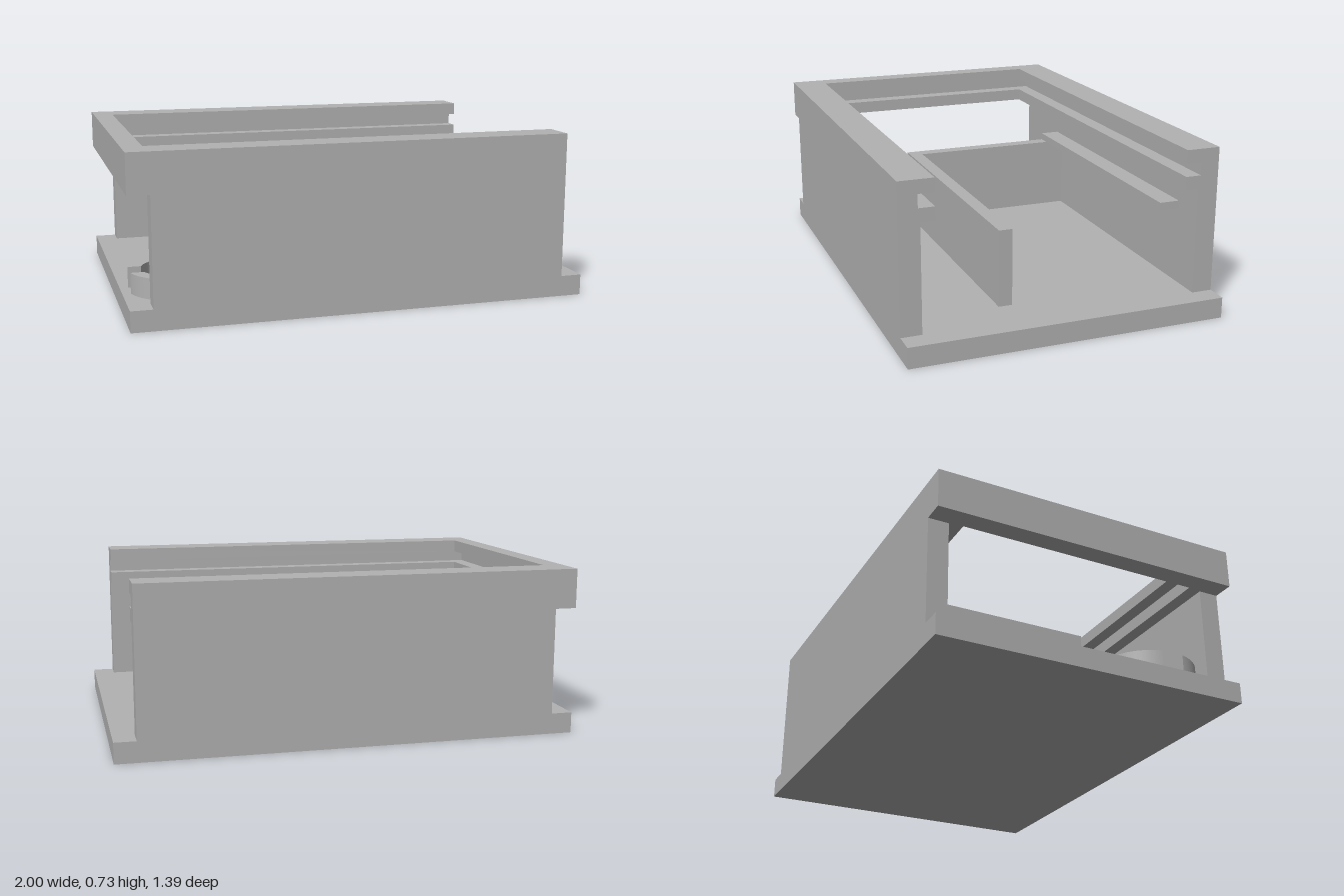
import * as THREE from 'three';

export function createModel() {
  const model = new THREE.Group();
  model.name = 'openEnclosure';
  const grey = new THREE.MeshStandardMaterial({ color: 0xb2b2b2 });
  grey.name = 'plainGrey';

  const add = (name, geometry) => {
    const mesh = new THREE.Mesh(geometry, grey);
    mesh.name = name;
    model.add(mesh);
  };
  // Box given by its limits on each axis
  const box = (name, [x0, x1], [y0, y1], [z0, z1]) => {
    const g = new THREE.BoxGeometry(x1 - x0, y1 - y0, z1 - z0);
    add(name, g.translate((x0 + x1) / 2, (y0 + y1) / 2, (z0 + z1) / 2));
  };
  // Plan outline (x, z) raised from y0 to y1
  const slab = (name, shape, y0, y1) => {
    const g = new THREE.ExtrudeGeometry(shape, { depth: y1 - y0, bevelEnabled: false, curveSegments: 40 });
    add(name, g.rotateX(Math.PI / 2).translate(0, y1, 0));
  };

  const D = 0.697, floorY = 0.091, wallX = 0.906, wallZ = 0.607;

  // Floor and the two long side walls
  box('base', [-1, 1], [0, floorY], [-D, D]);
  box('frontWall', [-wallX, wallX], [floorY, 0.558], [wallZ, D]);
  box('backWall', [-wallX, wallX], [floorY, 0.558], [-D, -wallZ]);

  // U-shaped rim in three layers; the middle one is set back as the lid groove
  const rim = (name, innerX, innerZ, y0, y1) => slab(name, new THREE.Shape([
    [wallX, -D], [wallX, -innerZ], [innerX, -innerZ], [innerX, innerZ],
    [wallX, innerZ], [wallX, D], [-1, D], [-1, -D],
  ].map(([x, z]) => new THREE.Vector2(x, z))), y0, y1);
  rim('rimLowerLip', -0.912, 0.547, 0.558, 0.615);
  rim('rimGroove', -0.98, 0.616, 0.615, 0.672);
  rim('rimUpperLip', -0.912, 0.547, 0.672, 0.73);

  // Inner compartment: cross wall, long wall and the ledge on the back wall
  box('crossWall', [-0.52, -0.46], [floorY, 0.427], [-wallZ, 0.226]);
  box('longWall', [-0.46, 0.755], [floorY, 0.427], [0.166, 0.226]);
  box('backLedge', [-0.52, 0.755], [0.427, 0.46], [-wallZ, -0.517]);

  // Split ring holder with a wider gap on the inner side
  const cx = -0.754, cz = 0.389, R = 0.216, r = 0.16, gapIn = 0.062, gapOut = 0.05;
  for (const [name, s] of [['ringFrontHalf', 1], ['ringBackHalf', -1]]) {
    const shape = new THREE.Shape();
    const cw = s < 0;
    shape.absarc(cx, cz, R, s * Math.asin(gapIn / R), s * (Math.PI - Math.asin(gapOut / R)), cw);
    shape.absarc(cx, cz, r, s * (Math.PI - Math.asin(gapOut / r)), s * Math.asin(gapIn / r), !cw);
    slab(name, shape, floorY, 0.181);
  }
  return model;
}
